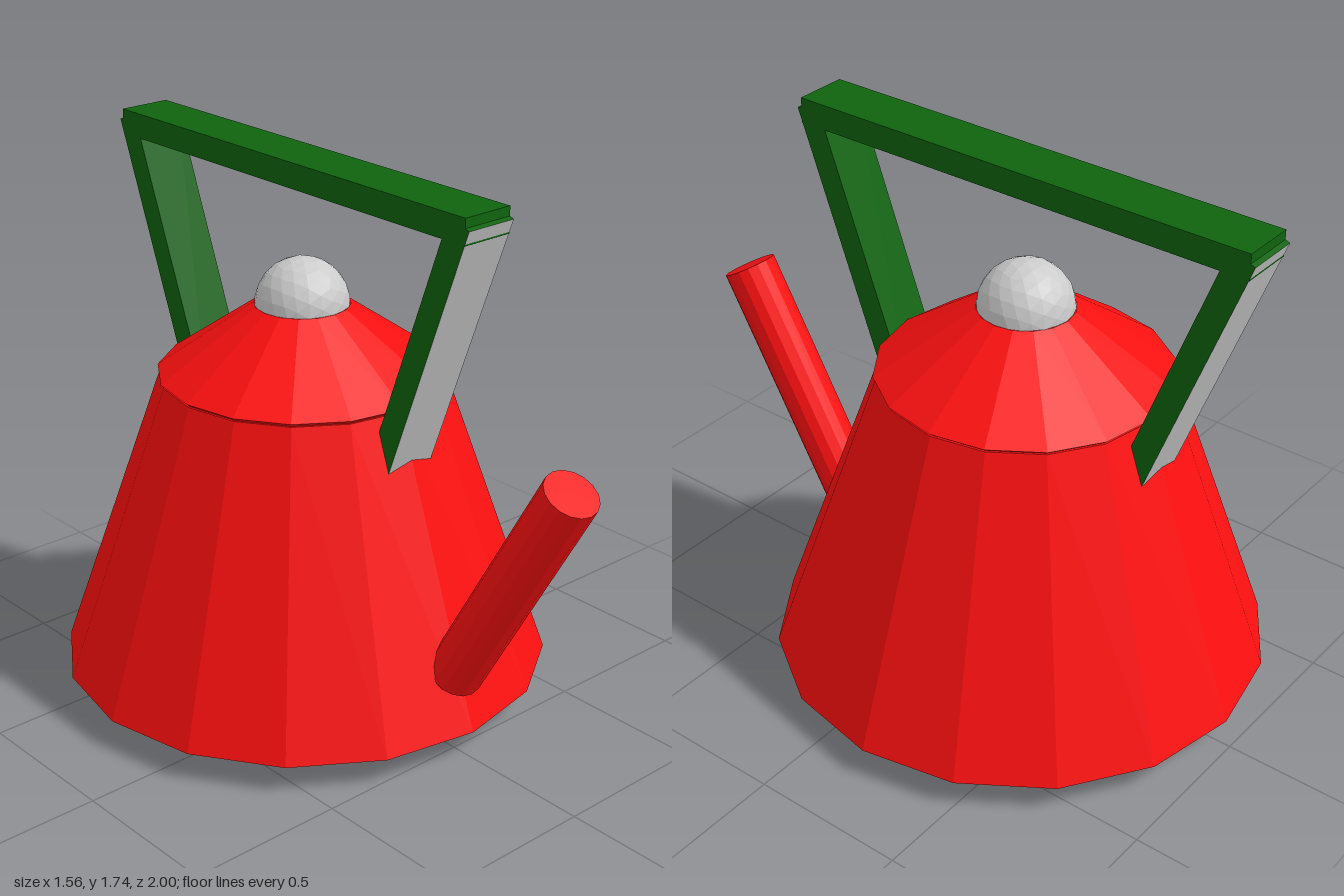
import * as THREE from 'three';

const paint = (color) => new THREE.MeshStandardMaterial({ color, flatShading: true });
const red = paint(0xff1010);
const green = paint(0x0f640f);
const grey = paint(0xcccccc);

const SIDES = 16;

function part(name, geometry, material, parent) {
  const mesh = new THREE.Mesh(geometry, material);
  mesh.name = name;
  parent.add(mesh);
  return mesh;
}

// Faceted solid of revolution from [radius, height] pairs, bottom to top
const turned = (points) =>
  new THREE.LatheGeometry(points.map(([r, y]) => new THREE.Vector2(r, y)), SIDES);

export function createModel() {
  const kettle = new THREE.Group();
  kettle.name = 'kettle';
  kettle.position.z = -0.2; // the spout reaches forward, so the body sits back
  const model = new THREE.Group();
  model.add(kettle);

  // Tapered body with a bevelled foot
  part('body', turned([[0, 0], [0.63, 0], [0.78, 0.09], [0.447, 1.04], [0, 1.04]]), red, kettle);

  // Conical lid with a slightly overhanging rim
  part('lid', turned([[0, 1.04], [0.44, 1.04], [0.455, 1.052], [0.15, 1.265], [0, 1.265]]), red, kettle);

  // Round knob, half sunk in the lid
  part('knob', new THREE.IcosahedronGeometry(0.148, 3), grey, kettle).position.y = 1.263;

  // Straight spout leaning forward, its foot buried in the body
  const spout = part('spout', new THREE.CylinderGeometry(0.086, 0.086, 0.865, SIDES), red, kettle);
  spout.position.set(0, 0.638, 0.913);
  spout.rotation.x = Math.PI / 6;

  // Handle: a flat bar on two splayed legs with grey outer faces
  const handle = new THREE.Group();
  handle.name = 'handle';
  kettle.add(handle);
  const width = 0.172;
  part('handleBar', new THREE.BoxGeometry(width, 0.08, 1.56), green, handle).position.y = 1.695;

  const length = 0.96, thickness = 0.083;
  const legGeometry = new THREE.BoxGeometry(width, length, thickness)
    .translate(0, -length / 2, -thickness / 2); // pivot at the top outer edge
  const legMaterials = [green, green, green, green, grey, green];
  for (const [name, turn] of [['frontLeg', 0], ['backLeg', Math.PI]]) {
    const side = new THREE.Group();
    side.rotation.y = turn;
    handle.add(side);
    const leg = part(name, legGeometry, legMaterials, side);
    leg.position.set(0, 1.7, 0.795);
    leg.rotation.x = 0.359;
  }

  return model;
}
